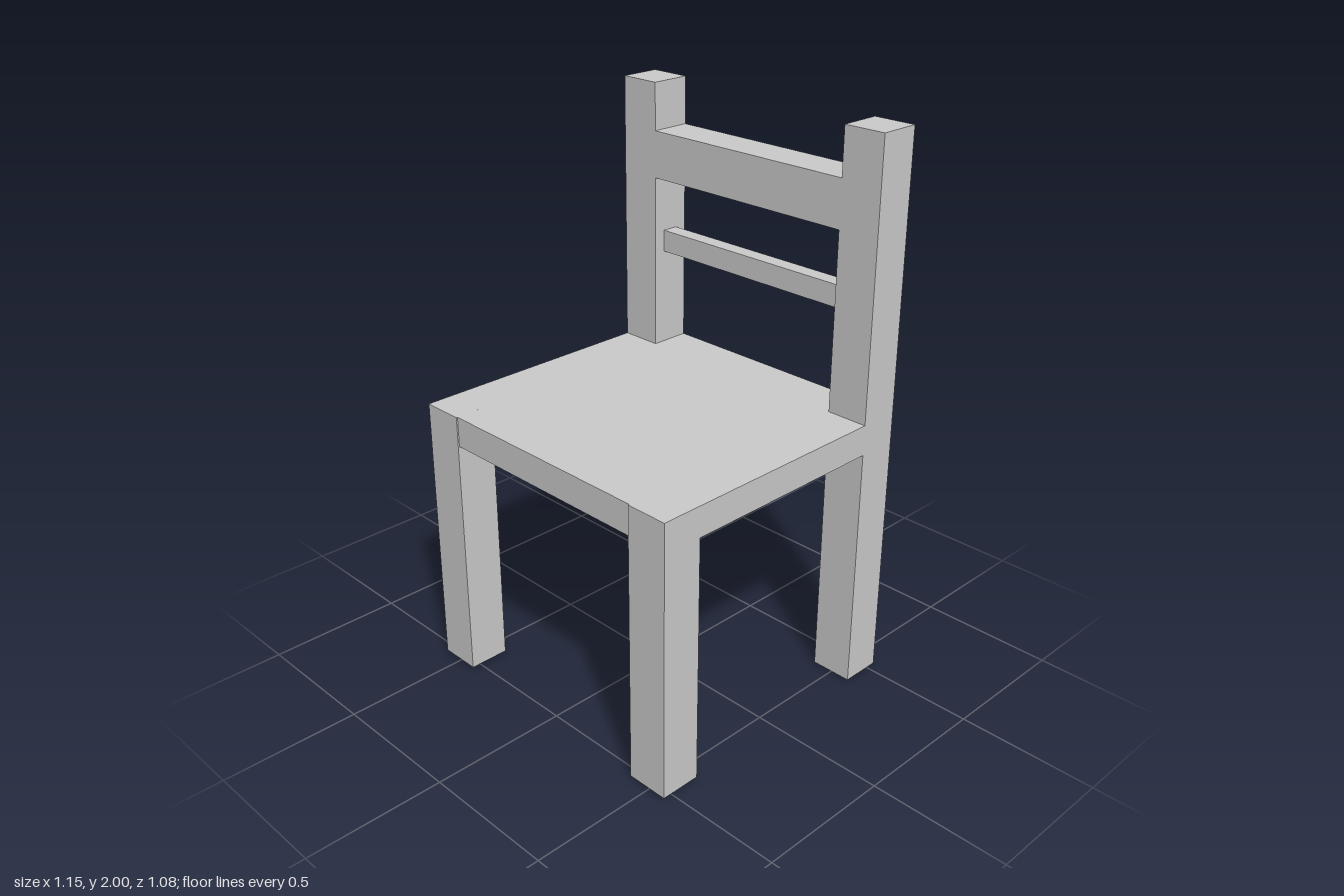
import * as THREE from 'three';

const OUT = 0.575, IN = 0.42;      // outer and inner x of the legs
const BACK = -0.54, FRONT = 0.54;  // depth limits
const LEG = 0.15;                  // leg depth
const SEAT_LOW = 0.91, SEAT_TOP = 1.02;

export function createModel() {
  const group = new THREE.Group();
  group.name = 'chair';
  const material = new THREE.MeshStandardMaterial({ color: 0xcccccc, flatShading: true });

  const add = (name, geometry) => {
    const mesh = new THREE.Mesh(geometry, material);
    mesh.name = name;
    group.add(mesh);
    return mesh;
  };

  // Box given by its limits on each axis
  const bar = (name, [x0, x1], [y0, y1], [z0, z1]) =>
    add(name, new THREE.BoxGeometry(x1 - x0, y1 - y0, z1 - z0))
      .position.set((x0 + x1) / 2, (y0 + y1) / 2, (z0 + z1) / 2);

  // Legs: the rear pair runs up to form the back posts
  for (const [side, s] of [['left', 1], ['right', -1]]) {
    const x = s > 0 ? [IN, OUT] : [-OUT, -IN];
    bar(side + 'FrontLeg', x, [0.01, SEAT_TOP], [FRONT - LEG, FRONT]);
    bar(side + 'BackPost', x, [0, 2], [BACK, BACK + LEG]);
  }

  // Seat: a slab notched at its corners around the legs (shape y is -z)
  const f = -(FRONT - LEG), b = -(BACK + LEG), fEdge = -0.535, bEdge = -BACK;
  const outline = [
    [-IN, fEdge], [IN, fEdge], [IN, f], [OUT, f], [OUT, b], [IN, b],
    [IN, bEdge], [-IN, bEdge], [-IN, b], [-OUT, b], [-OUT, f], [-IN, f],
  ].map(([x, y]) => new THREE.Vector2(x, y));
  const seat = new THREE.ExtrudeGeometry(new THREE.Shape(outline),
    { depth: SEAT_TOP - SEAT_LOW, bevelEnabled: false });
  seat.rotateX(-Math.PI / 2);
  add('seat', seat).position.y = SEAT_LOW;

  // Backrest: a deep top rail and a thin slat set between the posts
  bar('topRail', [-IN, IN], [1.66, 1.83], [BACK, BACK + LEG]);
  bar('backSlat', [-IN, IN], [1.375, 1.455], [-0.495, -0.435]);

  return group;
}
